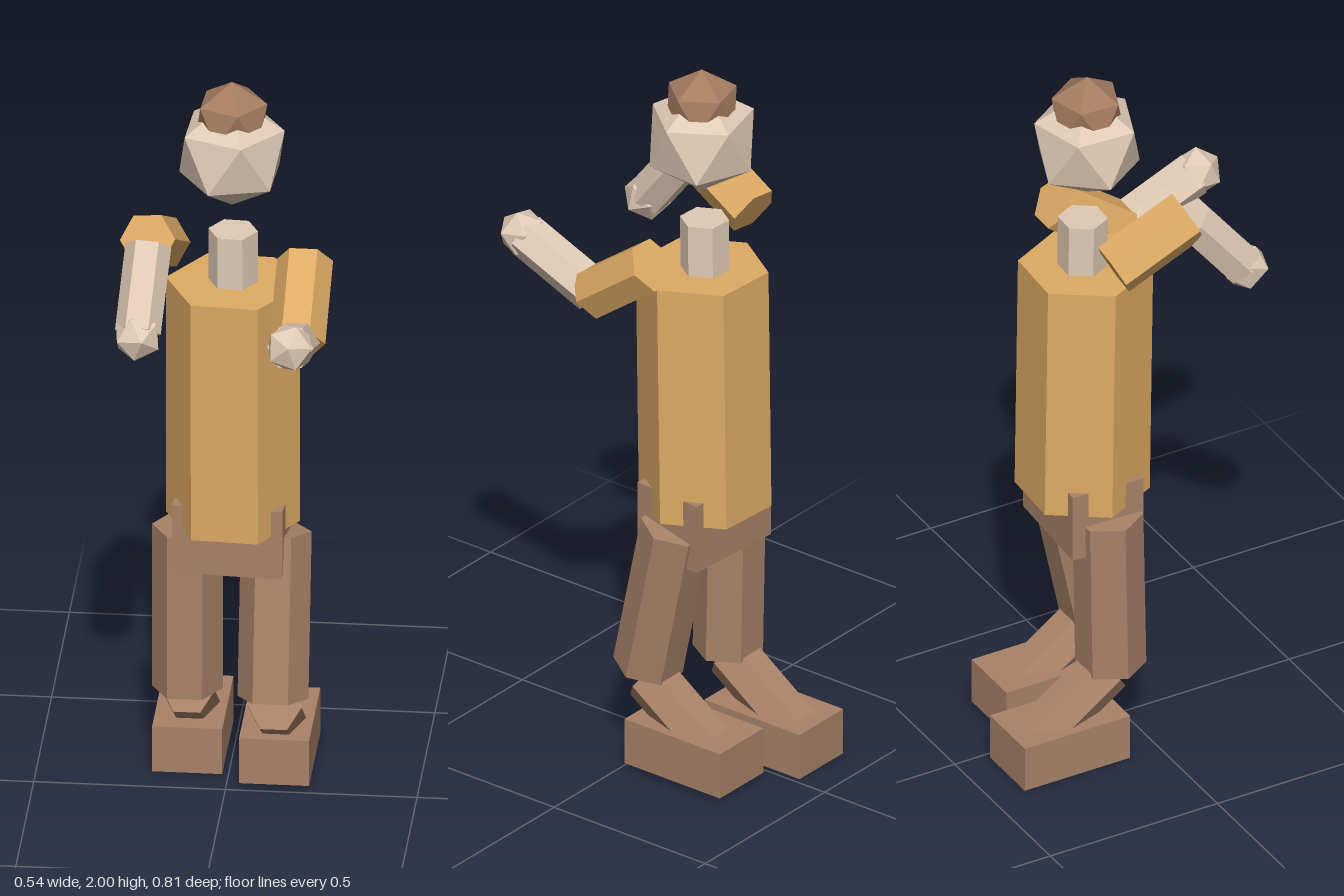
import * as THREE from 'three';

const V = (x, y, z) => new THREE.Vector3(x, y, z);
const UP = V(0, 1, 0);

function paint(name, color) {
  const m = new THREE.MeshStandardMaterial({ color, flatShading: true });
  m.name = name;
  return m;
}

export function createModel() {
  const model = new THREE.Group();
  model.name = 'figure';
  const skin = paint('skin', 0xe0cab5);
  const shirt = paint('shirt', 0xdeaa64);
  const trousers = paint('trousers', 0xa88267);
  const hair = paint('hair', 0xa47c60);

  const add = (name, geometry, material, parent = model) => {
    const mesh = new THREE.Mesh(geometry, material);
    mesh.name = name;
    parent.add(mesh);
    return mesh;
  };

  // Six-sided bar between two points, with corners pointing sideways
  const bar = (name, from, to, radius, material, parent) => {
    const dir = to.clone().sub(from);
    const geo = new THREE.CylinderGeometry(radius, radius, dir.length(), 6);
    geo.rotateY(Math.PI / 2);
    const mesh = add(name, geo, material, parent);
    mesh.position.copy(from).lerp(to, 0.5);
    mesh.quaternion.setFromUnitVectors(UP, dir.normalize());
    return mesh;
  };

  // Icosahedron standing on a corner, turned about its upright axis
  const gem = (radius, turn) => {
    const geo = new THREE.IcosahedronGeometry(radius, 0);
    geo.rotateZ(Math.atan(2 / (1 + Math.sqrt(5))));
    return geo.rotateY(turn);
  };

  const yaw = -0.059;

  // Head, hair and neck
  add('head', gem(0.155, Math.PI + yaw), skin).position.set(0.008, 1.8, -0.1);
  add('hair', gem(0.104, Math.PI + yaw), hair).position.set(0.008, 1.896, -0.1);
  const neck = bar('neck', V(0.01, 1.38, -0.113), V(0.01, 1.567, -0.111), 0.065, skin);
  neck.rotation.y = yaw;

  // Torso and hips
  const torso = bar('torso', V(0.01, 0.737, -0.113), V(0.01, 1.421, -0.103), 0.176, shirt);
  torso.rotation.y = yaw;
  const hips = add('hips', new THREE.BoxGeometry(0.29, 0.195, 0.205), trousers);
  hips.position.set(0.01, 0.712, -0.11);
  hips.rotation.y = yaw;

  // Arms: shoulder, elbow, start of forearm, wrist
  const arms = [
    ['leftArm', V(0.2, 1.5, -0.088), V(0.198, 1.355, 0.107), V(0.198, 1.358, 0.11), V(0.2, 1.45, 0.33), V(0.2, 1.455, 0.34)],
    ['rightArm', V(-0.175, 1.515, -0.125), V(-0.195, 1.625, 0.085), V(-0.192, 1.614, 0.095), V(-0.206, 1.432, 0.24), V(-0.207, 1.425, 0.248)],
  ];
  for (const [name, shoulder, elbow, foreStart, wrist, palm] of arms) {
    const arm = new THREE.Group();
    arm.name = name;
    model.add(arm);
    bar('upperArm', shoulder, elbow, 0.073, shirt, arm);
    bar('forearm', wrist, foreStart, 0.06, skin, arm);
    const hand = add('hand', gem(0.066, 0), skin, arm);
    hand.position.copy(palm);
    hand.quaternion.setFromUnitVectors(UP, foreStart.clone().sub(wrist).normalize());
  }

  // Legs: hip, knee, start of shin, ankle, foot centre
  const legs = [
    ['leftLeg', V(0.123, 0.706, -0.105), V(0.123, 0.267, -0.013), V(0.127, 0.236, -0.02), V(0.127, 0.07, -0.255), V(0.126, 0.08, -0.168)],
    ['rightLeg', V(-0.108, 0.71, -0.104), V(-0.108, 0.247, -0.095), V(-0.107, 0.234, -0.105), V(-0.107, 0.066, -0.34), V(-0.108, 0.065, -0.247)],
  ];
  for (const [name, hip, knee, shinStart, ankle, sole] of legs) {
    const leg = new THREE.Group();
    leg.name = name;
    model.add(leg);
    bar('thigh', knee, hip, 0.0925, trousers, leg);
    bar('shin', ankle, shinStart, 0.07, trousers, leg);
    add('foot', new THREE.BoxGeometry(0.183, 0.13, 0.315), trousers, leg).position.copy(sole);
  }

  return model;
}
